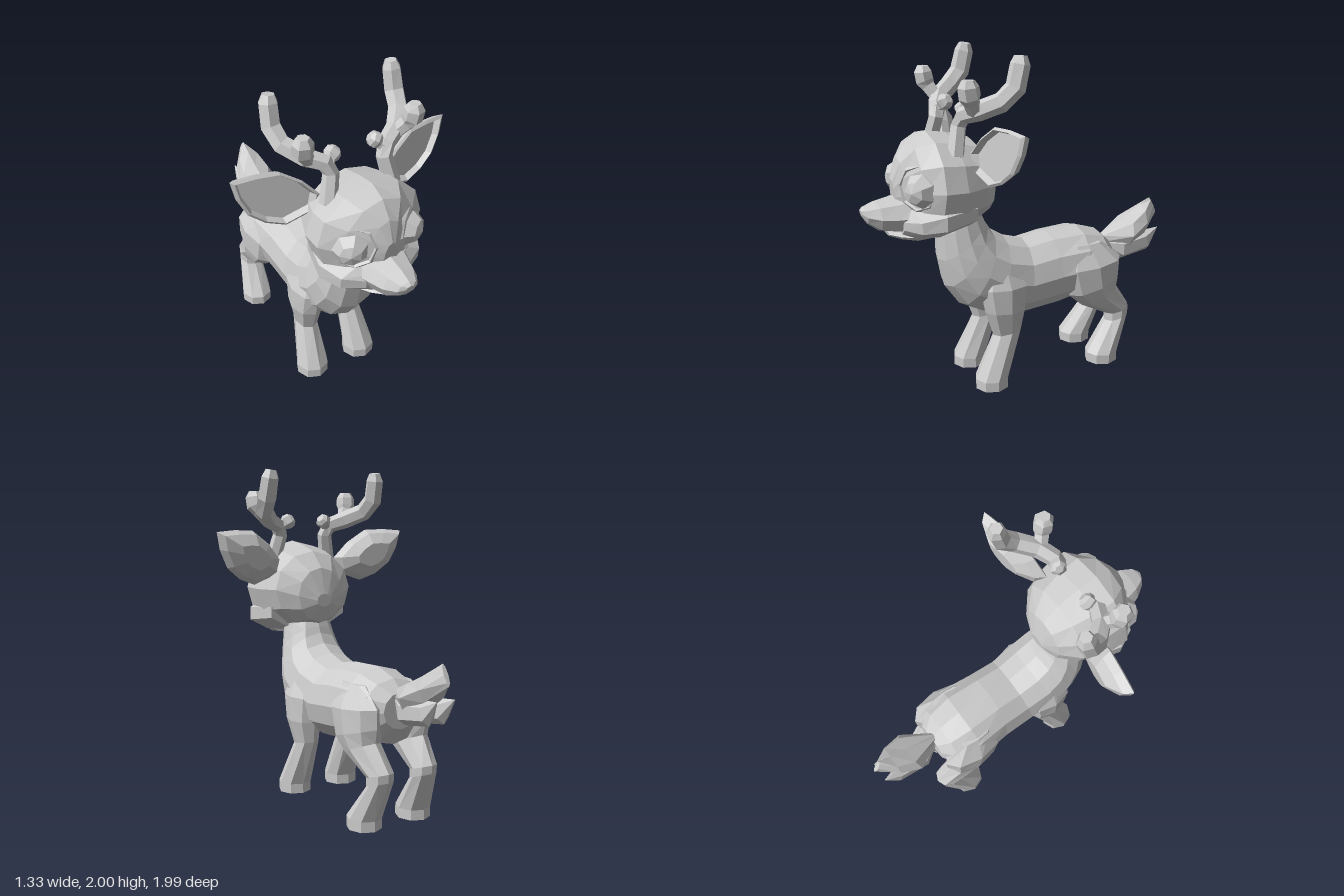
import * as THREE from 'three';

const coat = new THREE.MeshStandardMaterial({ color: 0xcccccc });
coat.name = 'grey coat';

// Closed faceted solid through a list of rings, capped at both ends; side -1 mirrors it
function solid(rings, side = 1) {
  const tris = [];
  const n = rings[0].length;
  for (let r = 0; r < rings.length - 1; r++) {
    for (let i = 0; i < n; i++) {
      const j = (i + 1) % n, a = rings[r], b = rings[r + 1];
      tris.push([a[i], a[j], b[j]], [a[i], b[j], b[i]]);
    }
  }
  const cap = (ring, flip) => {
    const mid = ring.reduce((s, p) => s.add(p), new THREE.Vector3()).divideScalar(n);
    ring.forEach((p, i) => {
      const q = ring[(i + 1) % n];
      tris.push(flip ? [mid, q, p] : [mid, p, q]);
    });
  };
  cap(rings[0], true);
  cap(rings[rings.length - 1], false);
  // Turn the faces outward whatever the ring direction
  const volume = tris.reduce((s, [a, b, c]) => s + a.dot(b.clone().cross(c)), 0) * side;
  const pos = [];
  for (const [a, b, c] of tris) {
    for (const p of volume < 0 ? [a, c, b] : [a, b, c]) pos.push(p.x * side, p.y, p.z);
  }
  const geo = new THREE.BufferGeometry();
  geo.setAttribute('position', new THREE.Float32BufferAttribute(pos, 3));
  geo.computeVertexNormals();
  return geo;
}

// Oval rings, each given as [z1, y1, z2, y2, halfWidth, centreX]: two opposite rim points in profile
function profile(sections, sides) {
  return sections.map(([z1, y1, z2, y2, w, cx = 0]) =>
    Array.from({ length: sides }, (_, i) => {
      const t = (i / sides) * Math.PI * 2, c = Math.cos(t) / 2;
      return new THREE.Vector3(cx + w * Math.sin(t), (y1 + y2) / 2 + (y1 - y2) * c, (z1 + z2) / 2 + (z1 - z2) * c);
    }));
}

// Round rings along a path of [x, y, z, radius]
function branch(path, sides = 6) {
  const pts = path.map((p) => new THREE.Vector3(p[0], p[1], p[2]));
  const u = new THREE.Vector3(0, 0, 1);
  return pts.map((p, k) => {
    const dir = pts[Math.min(k + 1, pts.length - 1)].clone().sub(pts[Math.max(k - 1, 0)]).normalize();
    u.addScaledVector(dir, -u.dot(dir)).normalize();
    const v = dir.clone().cross(u);
    return Array.from({ length: sides }, (_, i) => {
      const t = (i / sides) * Math.PI * 2;
      return p.clone().addScaledVector(u, path[k][3] * Math.cos(t)).addScaledVector(v, path[k][3] * Math.sin(t));
    });
  });
}

// Cupped ear: hollow floor, inner lip, outer edge, rounded back
function earRings() {
  const outline = [[0.22, 1.37], [0.39, 1.31], [0.5, 1.35], [0.59, 1.42], [0.645, 1.53],
    [0.667, 1.635], [0.54, 1.645], [0.41, 1.64], [0.29, 1.56], [0.2, 1.46]];
  const ring = (scale, dz) => outline.map(([x, y]) => {
    const px = 0.42 + (x - 0.42) * scale, py = 1.48 + (y - 1.48) * scale;
    return new THREE.Vector3(px, py, 0.42 - 0.18 * (px - 0.25) - 0.07 * (py - 1.35) + dz);
  });
  return [ring(0.82, -0.035), ring(0.91, 0), ring(1, -0.01), ring(0.85, -0.06), ring(0.45, -0.11)];
}

function facet(geo) {
  const flat = geo.toNonIndexed();
  flat.computeVertexNormals();
  return flat;
}

export function createModel() {
  const model = new THREE.Group();
  model.name = 'fawn';
  const add = (name, geo) => {
    const mesh = new THREE.Mesh(geo, coat);
    mesh.name = name;
    model.add(mesh);
    return mesh;
  };
  const pair = (name, rings) => {
    add(name + 'Left', solid(rings, 1));
    add(name + 'Right', solid(rings, -1));
  };

  // Trunk and neck, rump to throat
  add('body', solid(profile([
    [-0.595, 0.77, -0.6, 0.56, 0.12],
    [-0.52, 0.835, -0.53, 0.46, 0.22],
    [-0.38, 0.88, -0.32, 0.43, 0.25],
    [-0.16, 0.875, -0.2, 0.4, 0.23],
    [0, 0.85, 0.05, 0.38, 0.225],
    [0.13, 0.89, 0.27, 0.42, 0.235],
    [0.21, 0.94, 0.42, 0.5, 0.225],
    [0.25, 1.0, 0.51, 0.63, 0.2],
    [0.265, 1.04, 0.545, 0.8, 0.175],
    [0.29, 1.09, 0.55, 0.96, 0.155],
    [0.31, 1.18, 0.53, 1.1, 0.14],
  ], 12)));

  // Legs
  pair('frontLeg', profile([
    [0.29, 0.78, 0.11, 0.78, 0.03, 0.16],
    [0.35, 0.63, 0.03, 0.63, 0.095, 0.165],
    [0.32, 0.48, 0.055, 0.48, 0.095, 0.165],
    [0.265, 0.32, 0.08, 0.35, 0.07, 0.155],
    [0.39, 0.06, 0.185, 0.06, 0.103, 0.172],
    [0.39, 0, 0.185, 0, 0.103, 0.172],
  ], 8));
  pair('backLeg', profile([
    [-0.26, 0.8, -0.48, 0.8, 0.03, 0.16],
    [-0.2, 0.65, -0.61, 0.69, 0.1, 0.172],
    [-0.25, 0.48, -0.605, 0.58, 0.1, 0.17],
    [-0.34, 0.4, -0.585, 0.5, 0.088, 0.165],
    [-0.53, 0.3, -0.69, 0.35, 0.075, 0.15],
    [-0.53, 0.25, -0.685, 0.3, 0.075, 0.15],
    [-0.385, 0.06, -0.595, 0.06, 0.1, 0.172],
    [-0.385, 0, -0.595, 0, 0.1, 0.172],
  ], 8));

  // Tail: one upper tuft and two lower tufts
  add('tailTop', solid(profile([
    [-0.57, 0.79, -0.57, 0.68, 0.025],
    [-0.77, 0.885, -0.72, 0.67, 0.13],
    [-0.87, 0.94, -0.87, 0.74, 0.095],
    [-0.94, 0.98, -0.995, 0.87, 0.015],
  ], 8)));
  pair('tailTuft', profile([
    [-0.57, 0.75, -0.6, 0.68, 0.02, 0.015],
    [-0.7, 0.76, -0.69, 0.61, 0.06, 0.045],
    [-0.86, 0.78, -0.9, 0.645, 0.045, 0.05],
    [-0.97, 0.79, -0.97, 0.785, 0.004, 0.06],
  ], 6));

  // Skull, wedge-shaped towards the face
  add('head', solid(profile([
    [0.2, 1.25, 0.2, 1.17, 0.05],
    [0.24, 1.41, 0.245, 1.07, 0.16],
    [0.34, 1.51, 0.33, 1.04, 0.27],
    [0.48, 1.55, 0.47, 1.0, 0.325],
    [0.6, 1.57, 0.61, 0.99, 0.33],
    [0.7, 1.53, 0.69, 1.0, 0.23],
    [0.77, 1.44, 0.75, 1.04, 0.115],
    [0.81, 1.32, 0.79, 1.12, 0.04],
  ], 12)));
  // Broad lower face, muzzle and chin
  add('cheeks', solid(profile([
    [0.4, 1.24, 0.4, 1.02, 0.28],
    [0.6, 1.24, 0.6, 0.98, 0.33],
    [0.73, 1.19, 0.71, 0.98, 0.265],
    [0.79, 1.15, 0.78, 1.0, 0.14],
  ], 10)));
  add('muzzle', solid(profile([
    [0.68, 1.25, 0.68, 1.0, 0.18],
    [0.81, 1.22, 0.8, 1.01, 0.14],
    [0.9, 1.205, 0.89, 1.03, 0.11],
    [0.97, 1.18, 0.955, 1.08, 0.065],
    [0.99, 1.165, 0.98, 1.12, 0.025],
  ], 8)));
  add('chin', solid(profile([
    [0.58, 1.05, 0.58, 0.97, 0.17],
    [0.7, 1.04, 0.7, 0.96, 0.15],
    [0.79, 1.03, 0.78, 0.975, 0.1],
    [0.85, 1.03, 0.84, 0.995, 0.05],
  ], 8)));

  // Eyes and eye rims
  for (const side of [1, -1]) {
    const tag = side > 0 ? 'Left' : 'Right';
    const eye = add('eye' + tag, facet(new THREE.SphereGeometry(0.105, 7, 5).rotateX(Math.PI / 2)));
    eye.position.set(side * 0.172, 1.28, 0.68);
    eye.rotation.y = side * 0.55;
    const rim = add('eyeRim' + tag, facet(new THREE.TorusGeometry(0.117, 0.02, 4, 8)));
    rim.position.set(side * 0.165, 1.29, 0.7);
    rim.rotation.set(-0.1, side * 0.65, 0);
    rim.scale.y = 1.05;
  }

  // Ears
  pair('ear', earRings());

  // Antlers: main beam, forward tine and inner bud
  pair('antlerBeam', branch([
    [0.2, 1.45, 0.5, 0.05], [0.165, 1.61, 0.465, 0.045], [0.19, 1.67, 0.445, 0.05],
    [0.28, 1.705, 0.395, 0.055], [0.36, 1.755, 0.3, 0.056], [0.38, 1.83, 0.225, 0.058],
    [0.375, 1.95, 0.195, 0.055], [0.37, 1.995, 0.19, 0.035],
  ]));
  pair('antlerTine', branch([
    [0.27, 1.69, 0.41, 0.04], [0.315, 1.76, 0.45, 0.045], [0.33, 1.79, 0.465, 0.06],
    [0.335, 1.845, 0.475, 0.058], [0.335, 1.88, 0.475, 0.035],
  ]));
  pair('antlerBud', branch([
    [0.185, 1.65, 0.455, 0.035], [0.155, 1.675, 0.435, 0.034], [0.14, 1.69, 0.425, 0.048],
    [0.115, 1.705, 0.415, 0.045], [0.1, 1.715, 0.41, 0.025],
  ]));

  return model;
}
